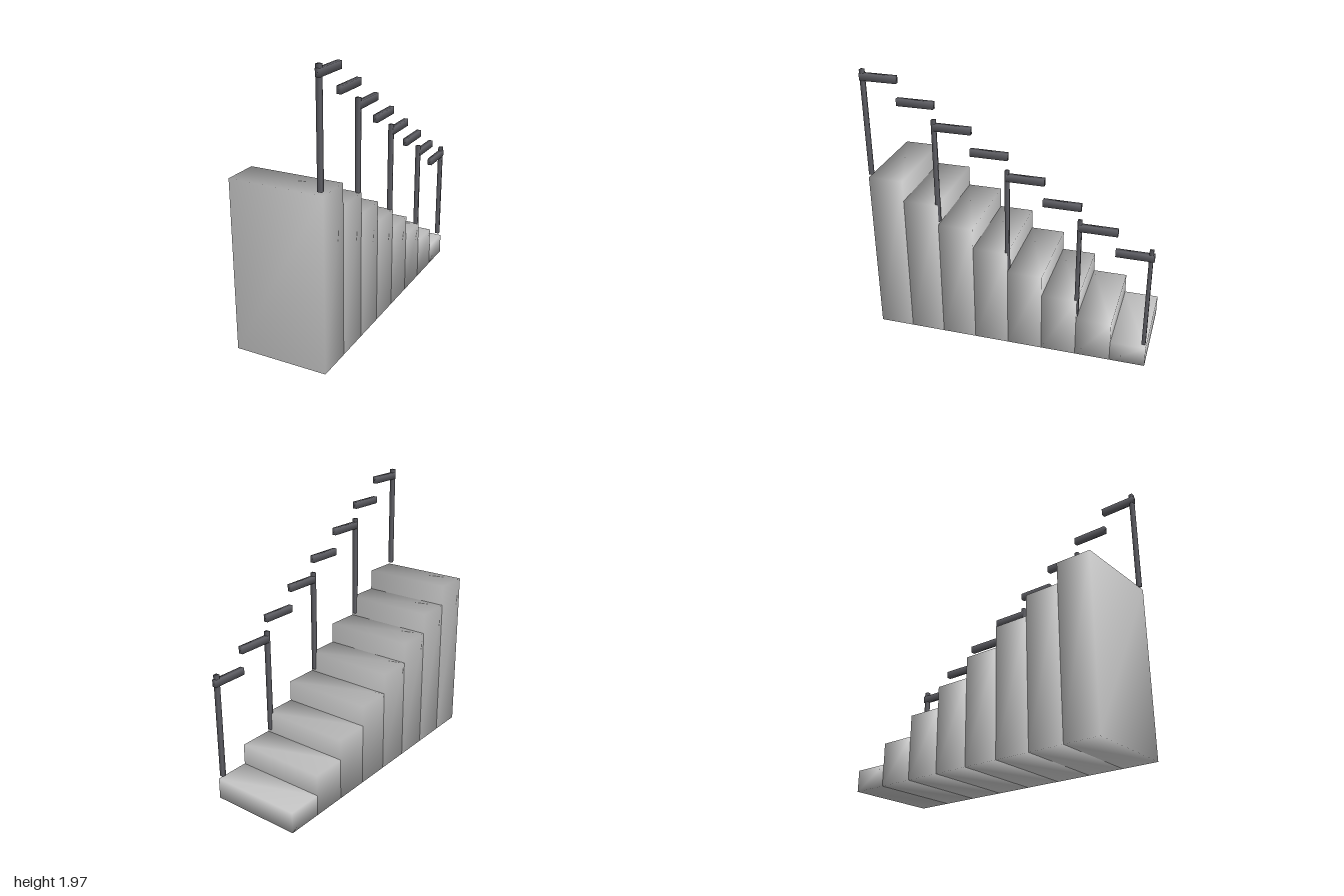
import * as THREE from 'three';
import { mergeVertices } from 'three/addons/utils/BufferGeometryUtils.js';

const STEPS = 8, RISE = 0.15, RUN = 0.249, HALF_WIDTH = 0.33;
const RAIL_X = 0.307;

// Box whose corners share one averaged normal, giving soft shading
function softBox(w, h, d) {
  const box = new THREE.BoxGeometry(w, h, d);
  box.deleteAttribute('normal');
  box.deleteAttribute('uv');
  const geometry = mergeVertices(box);
  geometry.computeVertexNormals();
  return geometry;
}

export function createModel() {
  const stairs = new THREE.Group();
  stairs.name = 'staircase';
  const stone = new THREE.MeshStandardMaterial({ color: 0xcccccc });
  const metal = new THREE.MeshStandardMaterial({ color: 0x606066 });

  const add = (name, material, size, position) => {
    const mesh = new THREE.Mesh(softBox(...size), material);
    mesh.name = name;
    mesh.position.set(...position);
    stairs.add(mesh);
  };

  for (let i = 0; i < STEPS; i++) {
    // Solid steps, tallest at the front
    const height = RISE * (STEPS - i);
    const z = (STEPS / 2 - 0.5 - i) * RUN;
    add(`step${i + 1}`, stone, [HALF_WIDTH * 2, height, RUN], [0, height / 2, z]);

    // One level handrail piece above each step
    add(`handrail${i + 1}`, metal, [0.032, 0.05, 0.258], [RAIL_X, 1.92 - RISE * i, z]);
  }

  // Posts: every second step, plus one at the foot of the stairs
  const posts = [[0.983, 1.22], [0.502, 0.92], [0.003, 0.62], [-0.495, 0.325], [-0.977, 0.175]];
  posts.forEach(([z, bottom], i) => {
    add(`post${i + 1}`, metal, [0.03, 0.75, 0.027], [RAIL_X, bottom + 0.375, z]);
  });

  return stairs;
}
